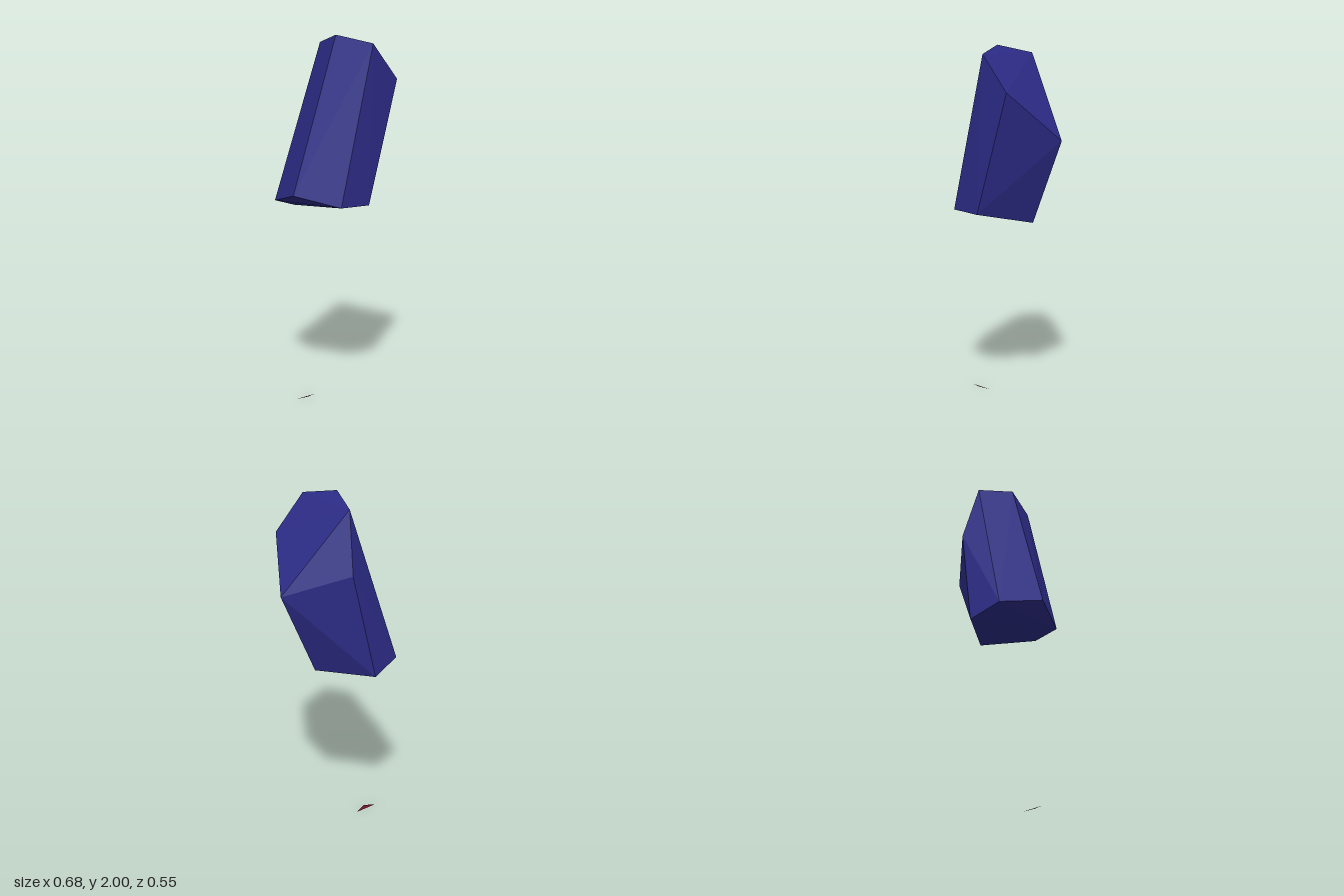
import * as THREE from 'three';
import { ConvexGeometry } from 'three/addons/geometries/ConvexGeometry.js';

const v = (x, y, z) => new THREE.Vector3(x, y, z);

export function createModel() {
  const group = new THREE.Group();
  const navy = new THREE.MeshStandardMaterial({ color: 0x2c2b86 });
  navy.name = 'navy blue';
  const darkRed = new THREE.MeshStandardMaterial({ color: 0x6b0f26, side: THREE.DoubleSide });
  darkRed.name = 'dark red';

  // leaning faceted block: peak and shoulders, side corners, then the lower rim
  const corners = [
    v(-0.065, 2.0, 0.06), v(0.026, 1.958, 0.258), v(-0.005, 1.955, -0.15),
    v(0.2, 1.765, 0.256), v(0.338, 1.505, -0.02), v(0.03, 1.625, -0.238),
    v(-0.34, 1.155, 0.036), v(-0.275, 1.09, -0.218), v(-0.198, 1.105, 0.266),
    v(-0.01, 1.1, 0.272), v(0.095, 1.055, 0.05),
    v(0.13, 1.035, -0.02), v(-0.098, 1.035, -0.273),
  ];
  const block = new THREE.Mesh(new ConvexGeometry(corners), navy);
  block.name = 'facetedBlock';
  group.add(block);

  // tiny shard lying on the ground
  const shardGeometry = new THREE.BufferGeometry().setFromPoints([
    v(-0.32, 0.003, 0.02), v(-0.25, 0.009, 0.042), v(-0.18, 0, 0.012),
  ]);
  shardGeometry.computeVertexNormals();
  const shard = new THREE.Mesh(shardGeometry, darkRed);
  shard.name = 'groundShard';
  group.add(shard);

  return group;
}
